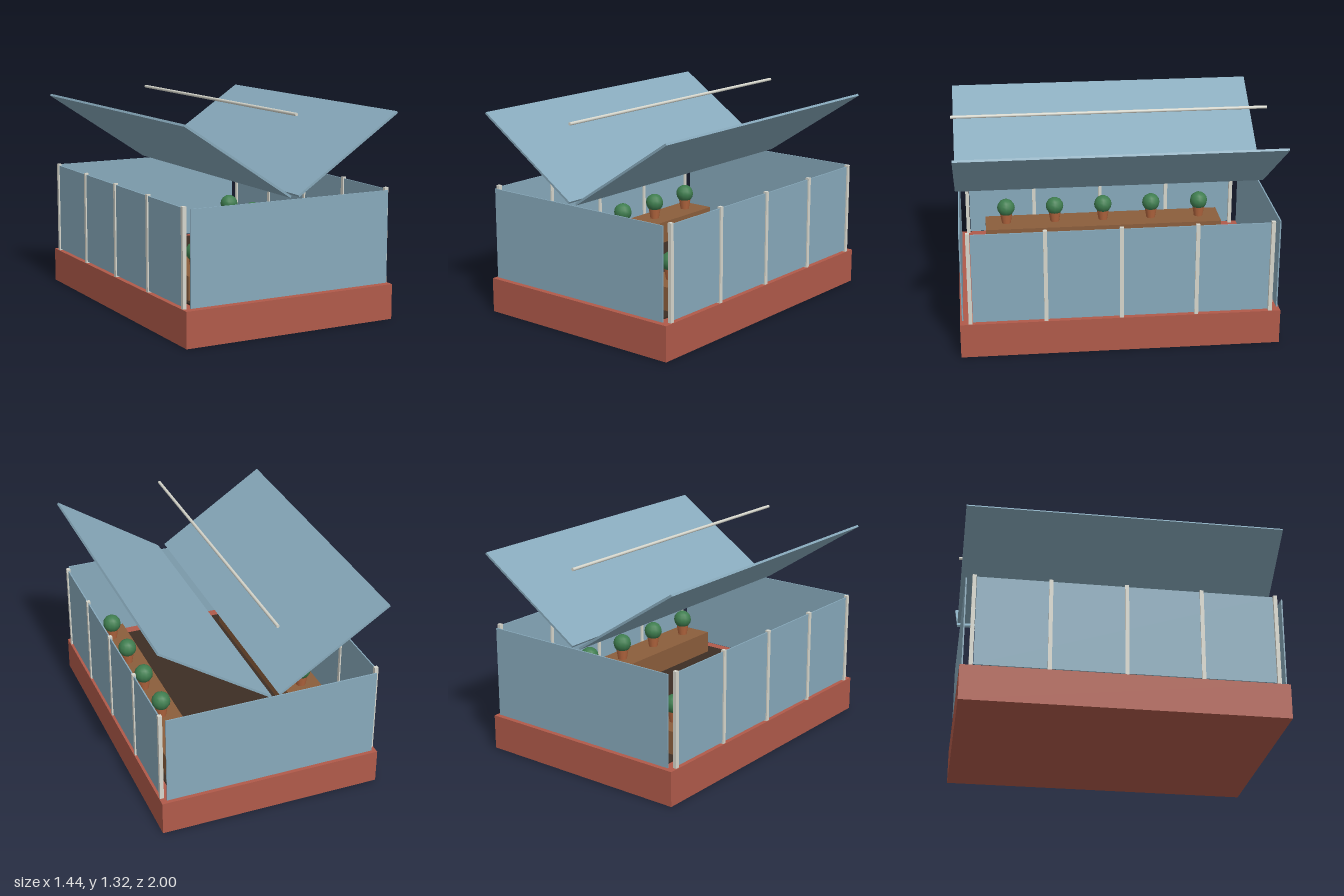
import * as THREE from 'three';

const mat = (color) => new THREE.MeshStandardMaterial({ color });

export function createModel() {
  const model = new THREE.Group();
  const brick = mat(0xb05a4a), glass = mat(0x87a9bb), frame = mat(0xd6d6cc);
  const soil = mat(0x3d2e24), wood = mat(0x8b5e3c), clay = mat(0xb5673f), leaf = mat(0x3f7d4f);

  function add(name, geometry, material, x, y, z, parent = model) {
    const mesh = new THREE.Mesh(geometry, material);
    mesh.name = name;
    mesh.position.set(x, y, z);
    parent.add(mesh);
    return mesh;
  }
  const box = (name, w, h, d, material, x, y, z) =>
    add(name, new THREE.BoxGeometry(w, h, d), material, x, y, z);

  // Brick plinth with the earth floor set into it
  box('plinth', 1.42, 0.22, 1.97, brick, 0, 0.11, 0);
  box('floor', 1.25, 0.13, 1.8, soil, 0, 0.165, 0);

  // End walls
  box('frontGlass', 1.35, 0.575, 0.008, glass, 0, 0.5175, 0.968);
  box('backGlass', 1.35, 0.575, 0.008, glass, 0, 0.5175, -0.968);

  const potGeometry = new THREE.CylinderGeometry(0.042, 0.03, 0.07, 12);
  const plantGeometry = new THREE.SphereGeometry(0.06, 12, 8);

  for (const side of [-1, 1]) {
    const label = side > 0 ? 'left' : 'right';

    // Side wall and its posts
    box(label + 'Glass', 0.008, 0.575, 1.81, glass, side * 0.693, 0.5175, 0);
    for (let i = -2; i <= 2; i++) {
      box(label + 'Post', 0.024, 0.595, 0.024, frame, side * 0.693, 0.5175, i * 0.46);
    }

    // Sloping roof pane, low at the middle and high at the eaves
    const roof = box(label + 'Roof', 0.828, 0.014, 1.98, glass, side * 0.3725, 1.0525, 0);
    roof.rotation.z = side * Math.atan2(0.455, 0.69);

    // Planting bench with a row of potted plants
    box(label + 'Bench', 0.24, 0.15, 1.6, wood, side * 0.48, 0.3, 0);
    for (let i = -2; i <= 2; i++) {
      const plant = new THREE.Group();
      plant.name = label + 'PottedPlant';
      plant.position.set(side * 0.48, 0.375, i * 0.33);
      add('pot', potGeometry, clay, 0, 0.035, 0, plant);
      add('foliage', plantGeometry, leaf, 0, 0.11, 0, plant);
      model.add(plant);
    }
  }

  // Ridge bar
  const ridge = add('ridgeBar', new THREE.CylinderGeometry(0.01, 0.01, 2, 12), frame, 0, 1.305, 0);
  ridge.rotation.x = Math.PI / 2;

  return model;
}
